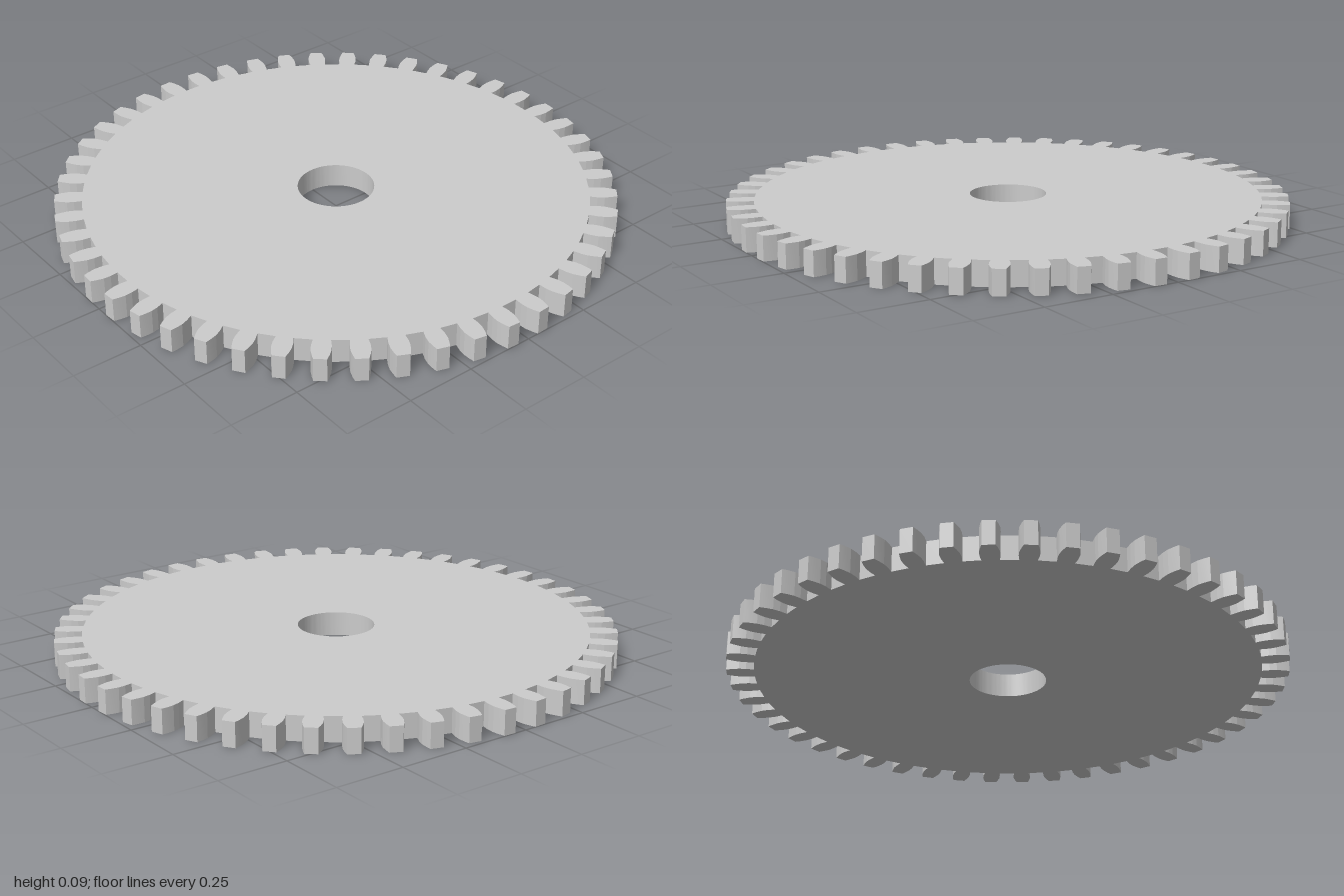
import * as THREE from 'three';
import { toCreasedNormals } from 'three/addons/utils/BufferGeometryUtils.js';

const TEETH = 48;
const THICKNESS = 0.087;
const BORE_RADIUS = 0.137;
// Tooth flank from root to tip: [distance from axis, half width]
const FLANK = [[0.902, 0.029], [0.93, 0.033], [0.955, 0.033], [0.98, 0.028], [1.0, 0.022]];

// Closed outline of all teeth, with a gap centred on each axis
function gearOutline() {
  const points = [];
  for (let i = 0; i < TEETH; i++) {
    const angle = ((i + 0.5) / TEETH) * Math.PI * 2;
    const tooth = [
      ...FLANK.map(([r, w]) => new THREE.Vector2(r, -w)),
      ...FLANK.slice().reverse().map(([r, w]) => new THREE.Vector2(r, w)),
    ];
    tooth.forEach((p) => points.push(p.rotateAround(new THREE.Vector2(), angle)));
  }
  return new THREE.Shape(points);
}

export function createModel() {
  const group = new THREE.Group();
  group.name = 'spurGear';

  // Toothed disc with a round shaft bore
  const shape = gearOutline();
  const bore = new THREE.Path();
  bore.absarc(0, 0, BORE_RADIUS, 0, Math.PI * 2, true);
  shape.holes.push(bore);

  const extruded = new THREE.ExtrudeGeometry(shape, {
    depth: THICKNESS, bevelEnabled: false, curveSegments: 64,
  });
  extruded.rotateX(-Math.PI / 2);

  // Smooth bore, crisp tooth facets
  const geometry = toCreasedNormals(extruded, 0.12);
  const gear = new THREE.Mesh(geometry, new THREE.MeshStandardMaterial({ color: 0xcccccc }));
  gear.name = 'toothedDisc';
  group.add(gear);
  return group;
}
